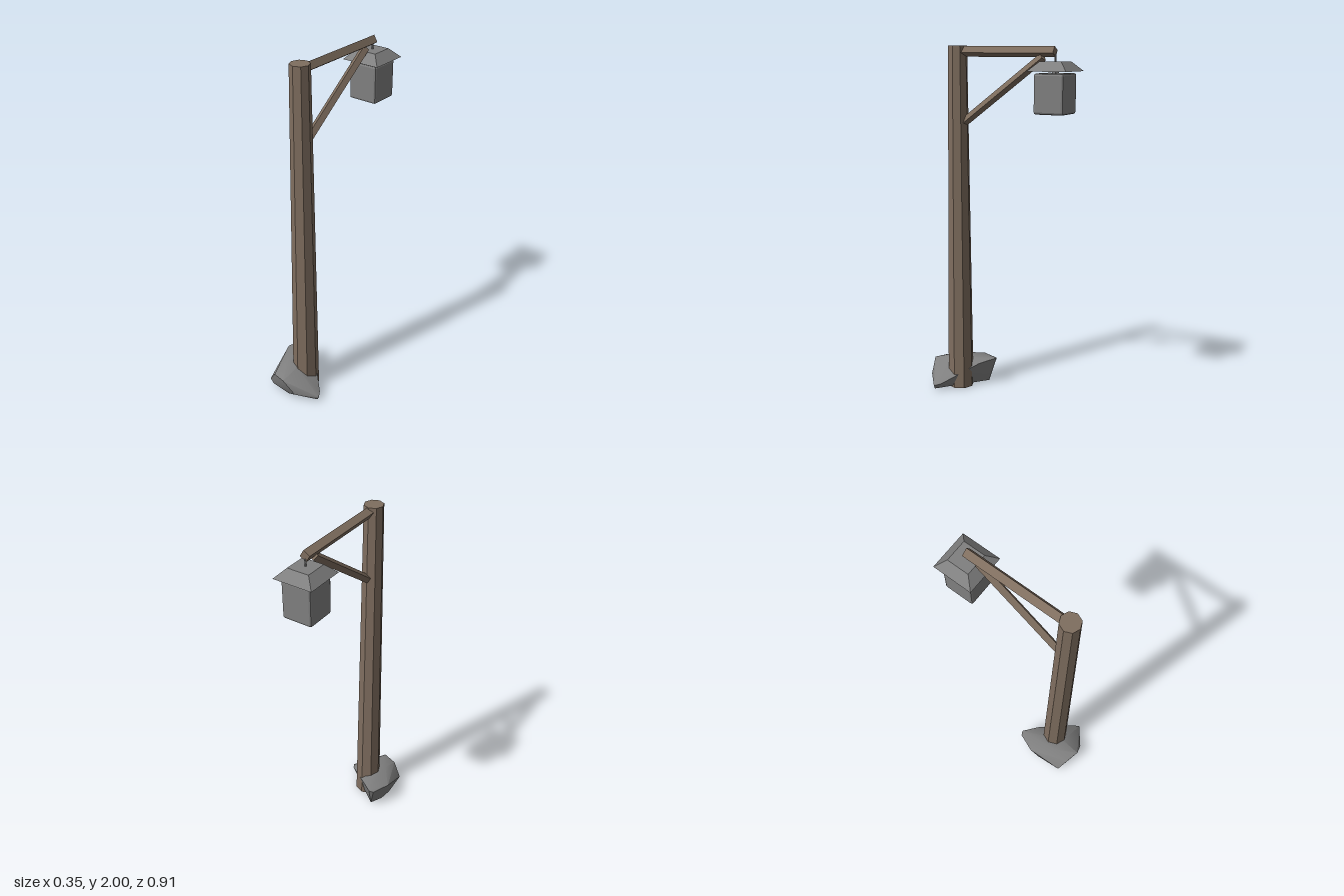
import * as THREE from 'three';
import { mergeVertices, toCreasedNormals } from 'three/addons/utils/BufferGeometryUtils.js';
import { RoundedBoxGeometry } from 'three/addons/geometries/RoundedBoxGeometry.js';
import { ConvexGeometry } from 'three/addons/geometries/ConvexGeometry.js';

export function createModel() {
  const model = new THREE.Group();
  const wood = new THREE.MeshStandardMaterial({ color: 0x7f6e5f, name: 'wood', flatShading: true });
  const grey = new THREE.MeshStandardMaterial({ color: 0x808080, name: 'grey', flatShading: true });
  const stone = grey.clone();
  stone.flatShading = false;
  stone.name = 'stone grey';

  function add(parent, name, geometry, material, x = 0, y = 0, z = 0) {
    const mesh = new THREE.Mesh(geometry, material);
    mesh.name = name;
    mesh.position.set(x, y, z);
    parent.add(mesh);
    return mesh;
  }

  // Square timber, rolled about its own length, from its rear end to its front end
  function timber(name, size, rear, front) {
    const geometry = new THREE.BoxGeometry(size, size, rear.distanceTo(front));
    geometry.rotateZ(THREE.MathUtils.degToRad(31));
    const mid = rear.clone().add(front).multiplyScalar(0.5);
    add(model, name, geometry, wood, mid.x, mid.y, mid.z).lookAt(front);
  }

  // Tapered eight-sided post
  add(model, 'post', new THREE.CylinderGeometry(0.054, 0.077, 2, 8), wood, 0.008, 1, 0.259);

  // Arm and diagonal brace
  const v = (x, y, z) => new THREE.Vector3(x, y, z);
  timber('arm', 0.042, v(0.011, 1.969, -0.34), v(0.011, 1.969, 0.23));
  timber('brace', 0.034, v(0.011, 1.941, -0.27), v(0.011, 1.575, 0.225));

  // Hanging lantern: hook, sloped roof and chamfered body
  const lantern = new THREE.Group();
  lantern.name = 'lantern';
  lantern.position.set(0.008, 0, -0.341);
  model.add(lantern);
  add(lantern, 'hook', new THREE.CylinderGeometry(0.005, 0.005, 0.1, 6), grey, 0, 1.905, 0);
  add(lantern, 'hookBase', new THREE.CylinderGeometry(0.02, 0.02, 0.016, 6), grey, 0, 1.864, 0);
  const roof = new THREE.CylinderGeometry(0.062 * Math.SQRT2, 0.1125 * Math.SQRT2, 0.05, 4);
  roof.rotateY(Math.PI / 4);
  add(lantern, 'roof', roof, grey, 0, 1.893, 0);
  add(lantern, 'lanternBody', new RoundedBoxGeometry(0.172, 0.212, 0.172, 1, 0.012), grey, 0, 1.752, 0);

  // Stone leaning round the foot of the post
  const corners = [
    // top ridge
    [-0.11, 0.157, 0.08], [-0.135, 0.147, 0.092], [-0.178, 0.145, 0.2], [-0.085, 0.16, 0.32],
    [0, 0.157, 0.33], [-0.005, 0.13, 0.452], [-0.02, 0.14, 0.148], [-0.09, 0.12, 0.43],
    // low tip on the right
    [0.155, 0.04, 0.31], [0.176, 0.03, 0.345], [0.165, 0.008, 0.345], [0.065, 0.05, 0.432],
    // base
    [-0.1, 0.01, 0.125], [-0.135, 0.008, 0.2], [-0.16, 0.04, 0.25], [-0.148, 0.04, 0.405],
    [-0.13, 0.008, 0.4], [0, 0.008, 0.41],
  ].map((p) => v(...p));
  const hull = new ConvexGeometry(corners);
  hull.deleteAttribute('normal');
  add(model, 'stone', toCreasedNormals(mergeVertices(hull), 0.7), stone);

  return model;
}
